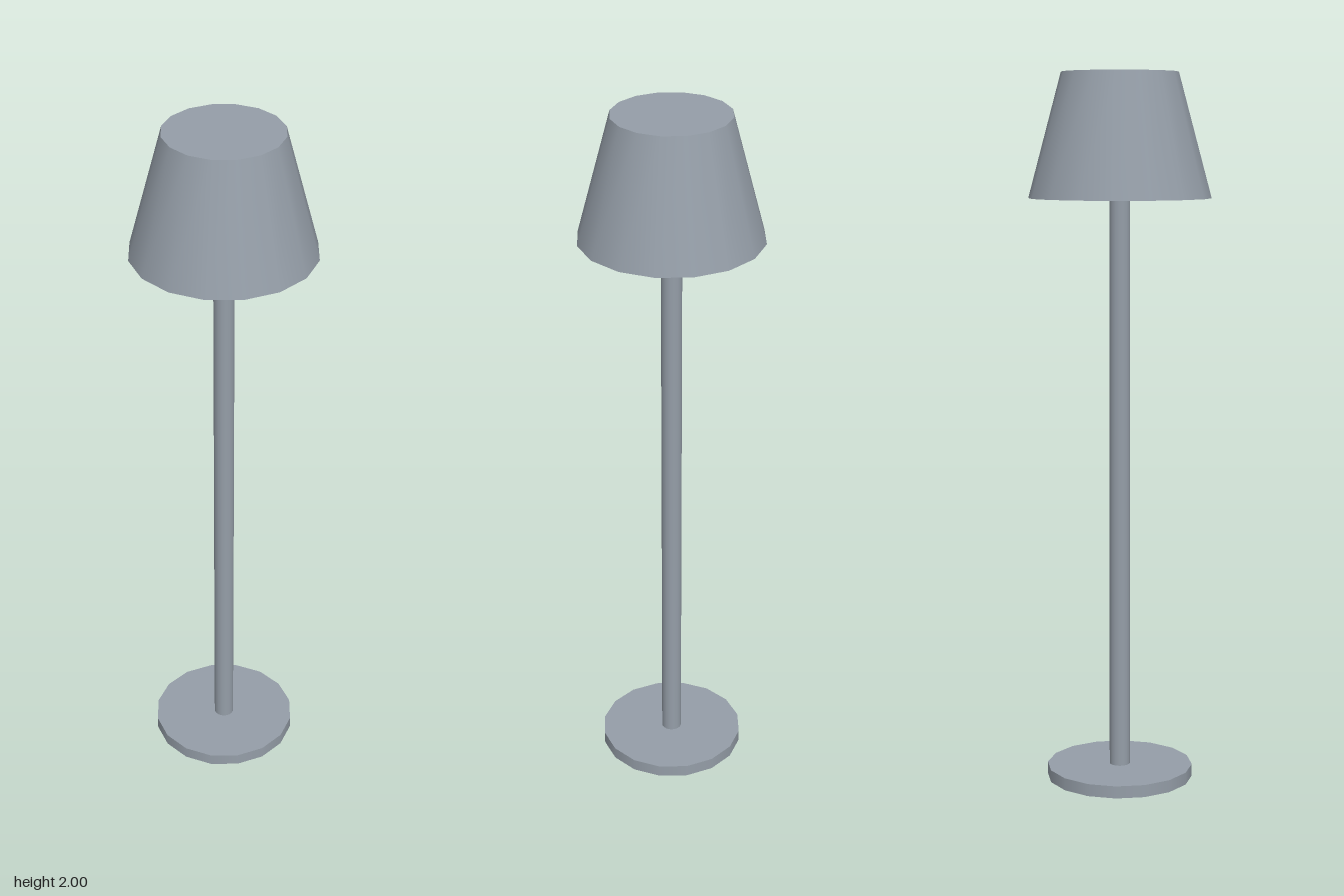
import * as THREE from 'three';

const SIDES = 16;

export function createModel() {
  const lamp = new THREE.Group();
  lamp.name = 'floorLamp';
  const material = new THREE.MeshStandardMaterial({ color: 0x959ea8 });

  // Upright capped cylinder or cone section between two heights
  function addRound(name, bottomRadius, topRadius, y0, y1) {
    const geometry = new THREE.CylinderGeometry(topRadius, bottomRadius, y1 - y0, SIDES);
    const mesh = new THREE.Mesh(geometry, material);
    mesh.name = name;
    mesh.position.y = (y0 + y1) / 2;
    lamp.add(mesh);
  }

  addRound('base', 0.208, 0.208, 0, 0.035);
  addRound('pole', 0.029, 0.029, 0.035, 1.656);
  addRound('shade', 0.254, 0.162, 1.656, 2);

  return lamp;
}
